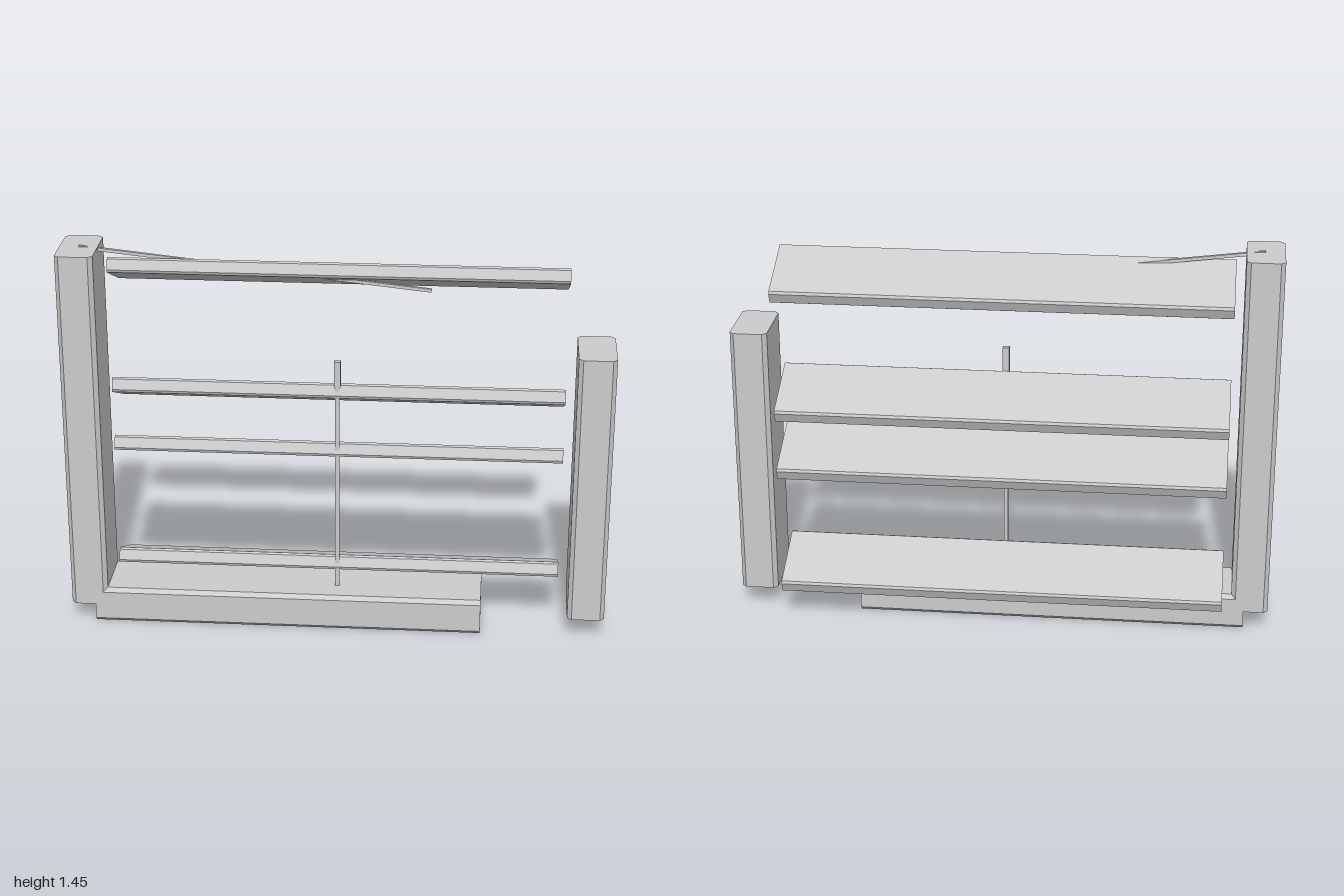
import * as THREE from 'three';

const grey = new THREE.MeshStandardMaterial({ name: 'lightGrey', color: 0xcccccc, flatShading: true });

// Timber of section w x h with four chamfered long edges, centred, running along z
function timber(w, h, length, chamfer) {
  const a = w / 2, b = h / 2, c = chamfer;
  const section = new THREE.Shape([
    [-a + c, -b], [a - c, -b], [a, -b + c], [a, b - c],
    [a - c, b], [-a + c, b], [-a, b - c], [-a, -b + c],
  ].map(([x, y]) => new THREE.Vector2(x, y)));
  const geometry = new THREE.ExtrudeGeometry(section, { depth: length, bevelEnabled: false });
  return geometry.translate(0, 0, -length / 2);
}

export function createModel() {
  const model = new THREE.Group();
  model.name = 'brokenShutter';
  const add = (name, geometry, x, y, z) => {
    const mesh = new THREE.Mesh(geometry, grey);
    mesh.name = name;
    mesh.position.set(x, y, z);
    model.add(mesh);
    return mesh;
  };

  // Upright posts of unequal height
  const post = (name, x, bottom, top) =>
    add(name, timber(0.137, 0.247, top - bottom, 0.016).rotateX(Math.PI / 2), x, (bottom + top) / 2, 0.048);
  post('rightPost', -0.931, 0.075, 1.45);
  post('leftPost', 0.928, 0.08, 1.113);

  // Bottom rail
  add('bottomRail', timber(0.247, 0.138, 1.447, 0.015).rotateY(Math.PI / 2), -0.186, 0.071, 0.048);

  // Slats, tilted down towards the back
  for (const y of [0.185, 0.648, 0.879, 1.34]) {
    const slat = add('slat', timber(0.262, 0.055, 1.65, 0.008).rotateY(Math.PI / 2), -0.003, y, -0.044);
    slat.rotation.x = -0.42;
  }

  // Upright tilt rod with a thicker tip
  add('tiltRod', new THREE.BoxGeometry(0.016, 0.81, 0.016), -0.003, 0.545, 0.07);
  add('tiltRodTip', new THREE.BoxGeometry(0.024, 0.1, 0.02), -0.003, 0.995, 0.07);

  // Loose sliver lying through the top slat
  const from = new THREE.Vector3(-0.93, 1.449, 0.05);
  const to = new THREE.Vector3(0.33, 1.3, 0.002);
  const sliver = add('looseSliver', new THREE.BoxGeometry(0.012, 0.012, from.distanceTo(to)), 0, 0, 0);
  sliver.position.lerpVectors(from, to, 0.5);
  sliver.lookAt(to);

  return model;
}
